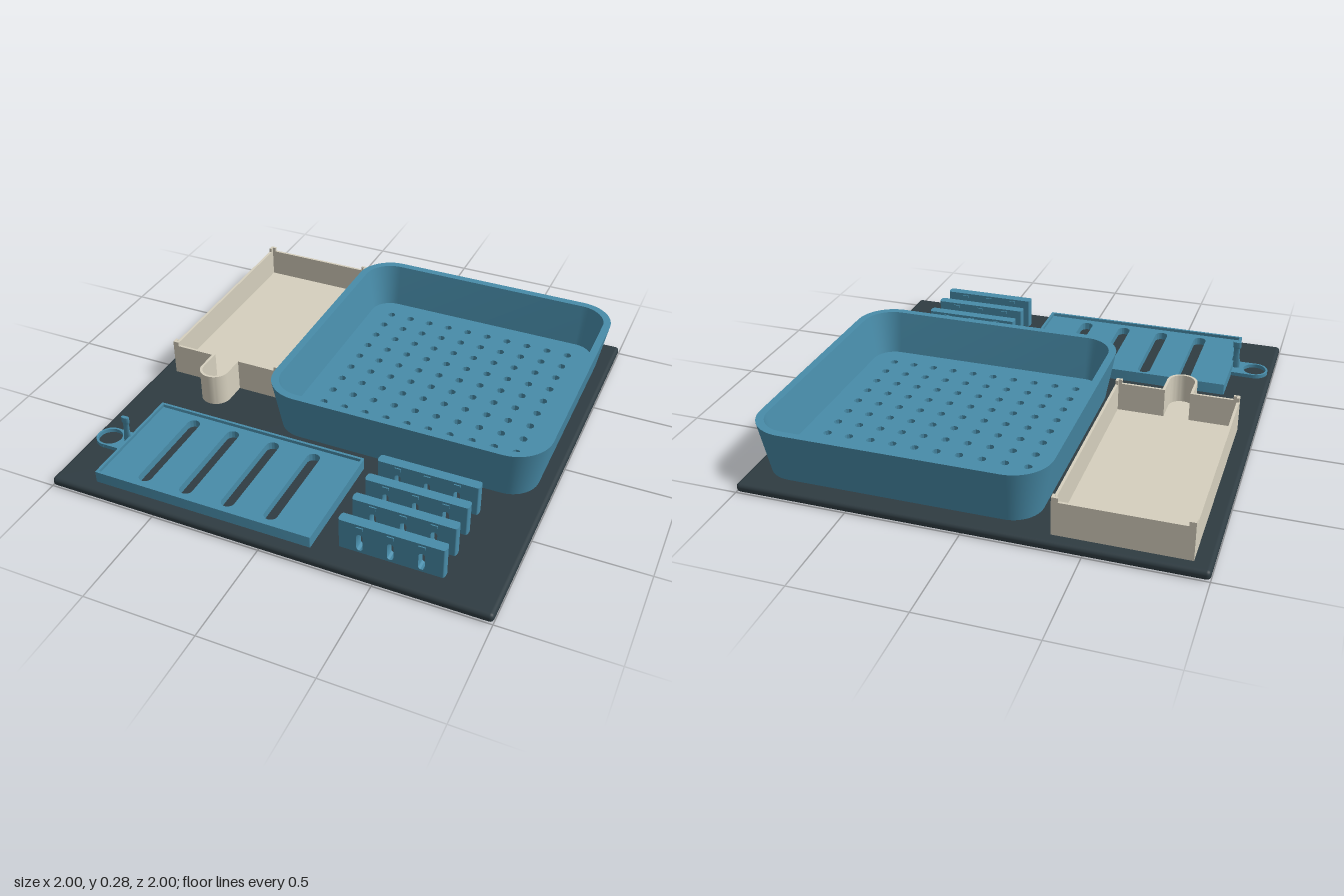
import * as THREE from 'three';
import { toCreasedNormals } from 'three/addons/utils/BufferGeometryUtils.js';
import { RoundedBoxGeometry } from 'three/addons/geometries/RoundedBoxGeometry.js';

const BASE_TOP = 0.042;

// Rounded rectangle outline between two corners
function roundRect(path, x0, y0, x1, y1, r) {
  path.moveTo(x0 + r, y0);
  path.lineTo(x1 - r, y0);
  path.absarc(x1 - r, y0 + r, r, -Math.PI / 2, 0);
  path.lineTo(x1, y1 - r);
  path.absarc(x1 - r, y1 - r, r, 0, Math.PI / 2);
  path.lineTo(x0 + r, y1);
  path.absarc(x0 + r, y1 - r, r, Math.PI / 2, Math.PI);
  path.lineTo(x0, y0 + r);
  path.absarc(x0 + r, y0 + r, r, Math.PI, Math.PI * 1.5);
  return path;
}

// Extrudes a plan outline (x, z) from y0 up to y1
function slab(shape, y0, y1, curveSegments = 8) {
  const g = new THREE.ExtrudeGeometry(shape, { depth: y1 - y0, bevelEnabled: false, curveSegments });
  g.rotateX(Math.PI / 2).translate(0, y1, 0);
  return toCreasedNormals(g, 0.6);
}

// Skins a stack of rounded squares [halfSize, radius, y]
function loftSquares(sections) {
  const pos = [], index = [];
  const steps = 12, n = 4 * (steps + 1);
  for (const [h, r, y] of sections) {
    for (let c = 0; c < 4; c++) {
      const mid = Math.PI / 4 + c * Math.PI / 2;
      const cx = Math.sign(Math.cos(mid)) * (h - r), cz = Math.sign(Math.sin(mid)) * (h - r);
      for (let i = 0; i <= steps; i++) {
        const a = (c + i / steps) * Math.PI / 2;
        pos.push(cx + r * Math.cos(a), y, cz + r * Math.sin(a));
      }
    }
  }
  for (let s = 0; s < sections.length - 1; s++) {
    for (let i = 0; i < n; i++) {
      const a = s * n + i, b = s * n + (i + 1) % n;
      index.push(a, a + n, b, b, a + n, b + n);
    }
  }
  const g = new THREE.BufferGeometry();
  g.setAttribute('position', new THREE.Float32BufferAttribute(pos, 3));
  g.setIndex(index);
  return toCreasedNormals(g, 0.6);
}

// Tray outline with a round-ended spout, pulled inward by t
function trayOutline(path, t) {
  const x0 = -0.925 + t, x1 = -0.36 - t, z0 = -0.945 + t, z1 = 0.085 - t;
  const cx = -0.645, r = 0.07 - t;
  path.moveTo(x0, z0);
  path.lineTo(x1, z0);
  path.lineTo(x1, z1);
  path.lineTo(cx + r, z1);
  path.lineTo(cx + r, 0.18);
  path.absarc(cx, 0.18, r, 0, Math.PI);
  path.lineTo(cx - r, z1);
  path.lineTo(x0, z1);
  path.closePath();
  return path;
}

export function createModel() {
  const model = new THREE.Group();
  const mat = (name, color) => new THREE.MeshStandardMaterial({ name, color });
  const blue = mat('blue plastic', 0x488ca9);
  const cream = mat('cream plastic', 0xd6d0be);
  const slate = mat('dark slate', 0x2f3c42);

  const add = (parent, name, geometry, material, x = 0, y = 0, z = 0) => {
    const mesh = new THREE.Mesh(geometry, material);
    mesh.name = name;
    mesh.position.set(x, y, z);
    parent.add(mesh);
    return mesh;
  };
  const group = (name) => {
    const g = new THREE.Group();
    g.name = name;
    model.add(g);
    return g;
  };

  // Base board
  add(model, 'baseBoard', new RoundedBoxGeometry(2, BASE_TOP, 2, 3, 0.018), slate, 0, BASE_TOP / 2, 0);

  // Flared basin with a perforated floor
  const basin = group('basin');
  basin.position.set(0.325, 0, -0.297);
  add(basin, 'basinWall', loftSquares([
    [0.607, 0.13, BASE_TOP], [0.65, 0.17, 0.28], [0.615, 0.135, 0.28], [0.578, 0.1, 0.075],
  ]), blue);
  const floor = roundRect(new THREE.Shape(), -0.585, -0.585, 0.585, 0.585, 0.105);
  for (let i = 0; i < 10; i++) {
    for (let j = 0; j < 10; j++) {
      const x = (i - 4.5) * 0.1037, z = (j - 4.5) * 0.1037;
      floor.holes.push(new THREE.Path().absarc(x, z, 0.019, 0, Math.PI * 2));
    }
  }
  add(basin, 'basinFloor', slab(floor, BASE_TOP + 0.002, 0.078, 5), blue);

  // Open tray with spout and raised corner posts
  const tray = group('tray');
  const rim = trayOutline(new THREE.Shape(), 0);
  rim.holes.push(trayOutline(new THREE.Path(), 0.012));
  add(tray, 'trayWall', slab(rim, BASE_TOP, 0.195, 12), cream);
  add(tray, 'trayFloor', slab(trayOutline(new THREE.Shape(), 0.006), BASE_TOP + 0.002, 0.06, 12), cream);
  for (const sx of [-1, 1]) {
    for (const z of [-0.939, 0.079]) {
      add(tray, 'cornerTab', new THREE.BoxGeometry(0.028, 0.03, 0.012), cream,
        -0.6425 + sx * 0.2685, 0.2, z);
      add(tray, 'cornerTab', new THREE.BoxGeometry(0.012, 0.03, 0.028), cream,
        -0.6425 + sx * 0.2765, 0.2, z + (z < 0 ? 0.008 : -0.008));
    }
  }

  // Slotted plate with a low rim
  const plate = group('slottedPlate');
  const rect = (path, t) => roundRect(path, -0.81 + t, 0.393 + t, 0.208 - t, 0.94 - t, 0.004);
  const plateRim = rect(new THREE.Shape(), 0);
  plateRim.holes.push(rect(new THREE.Path(), 0.012));
  add(plate, 'plateRim', slab(plateRim, BASE_TOP, 0.095), blue);
  const plateFloor = rect(new THREE.Shape(), 0.006);
  for (let i = 0; i < 4; i++) {
    const x = -0.605 + i * 0.2;
    plateFloor.holes.push(roundRect(new THREE.Path(), x - 0.03, 0.435, x + 0.03, 0.895, 0.0299));
  }
  add(plate, 'plateFloor', slab(plateFloor, BASE_TOP + 0.002, 0.08), blue);

  // Hanging loop and its peg
  const loop = new THREE.Shape();
  loop.moveTo(-0.805, 0.605);
  loop.lineTo(-0.805, 0.73);
  loop.lineTo(-0.915, 0.73);
  loop.absarc(-0.915, 0.6675, 0.0635, Math.PI / 2, Math.PI * 1.5);
  loop.closePath();
  loop.holes.push(new THREE.Path().absarc(-0.915, 0.6675, 0.054, 0, Math.PI * 2));
  add(plate, 'hangingLoop', slab(loop, BASE_TOP, 0.06, 16), blue);
  const pegProfile = [[0, 0.05], [0.02, 0.05], [0.02, 0.09], [0.015, 0.12], [0.015, 0.16],
    [0.02, 0.168], [0.02, 0.195], [0, 0.195]].map(([x, y]) => new THREE.Vector2(x, y));
  const peg = add(plate, 'peg', toCreasedNormals(new THREE.LatheGeometry(pegProfile, 16), 0.6), blue, -0.822, 0, 0.6675);
  peg.scale.z = 0.45;

  // Four upright dividers with slots and small top nubs
  const slotXs = [0.4, 0.532, 0.664];
  const top = 0.185, thick = 0.046;
  const face = new THREE.Shape();
  face.moveTo(0.313, BASE_TOP);
  face.lineTo(0.752, BASE_TOP);
  face.lineTo(0.752, top);
  face.lineTo(0.313, top);
  face.closePath();
  for (const x of slotXs) {
    face.holes.push(roundRect(new THREE.Path(), x - 0.014, 0.052, x + 0.014, 0.135, 0.0139));
  }
  const dividerGeometry = toCreasedNormals(
    new THREE.ExtrudeGeometry(face, { depth: thick, bevelEnabled: false, curveSegments: 6 }).translate(0, 0, -thick / 2), 0.6);
  const endGeometry = new THREE.CylinderGeometry(thick / 2, thick / 2, top - BASE_TOP, 12);
  endGeometry.scale(0.4, 1, 1);
  for (const z of [0.463, 0.596, 0.729, 0.862]) {
    const divider = group('divider');
    divider.position.z = z;
    add(divider, 'dividerBody', dividerGeometry, blue);
    for (const x of [0.313, 0.752]) {
      add(divider, 'dividerEnd', endGeometry, blue, x, (top + BASE_TOP) / 2, 0);
    }
    for (const x of slotXs) {
      add(divider, 'nub', new THREE.BoxGeometry(0.03, 0.014, 0.056), blue, x, 0.168, 0);
    }
  }
  return model;
}
